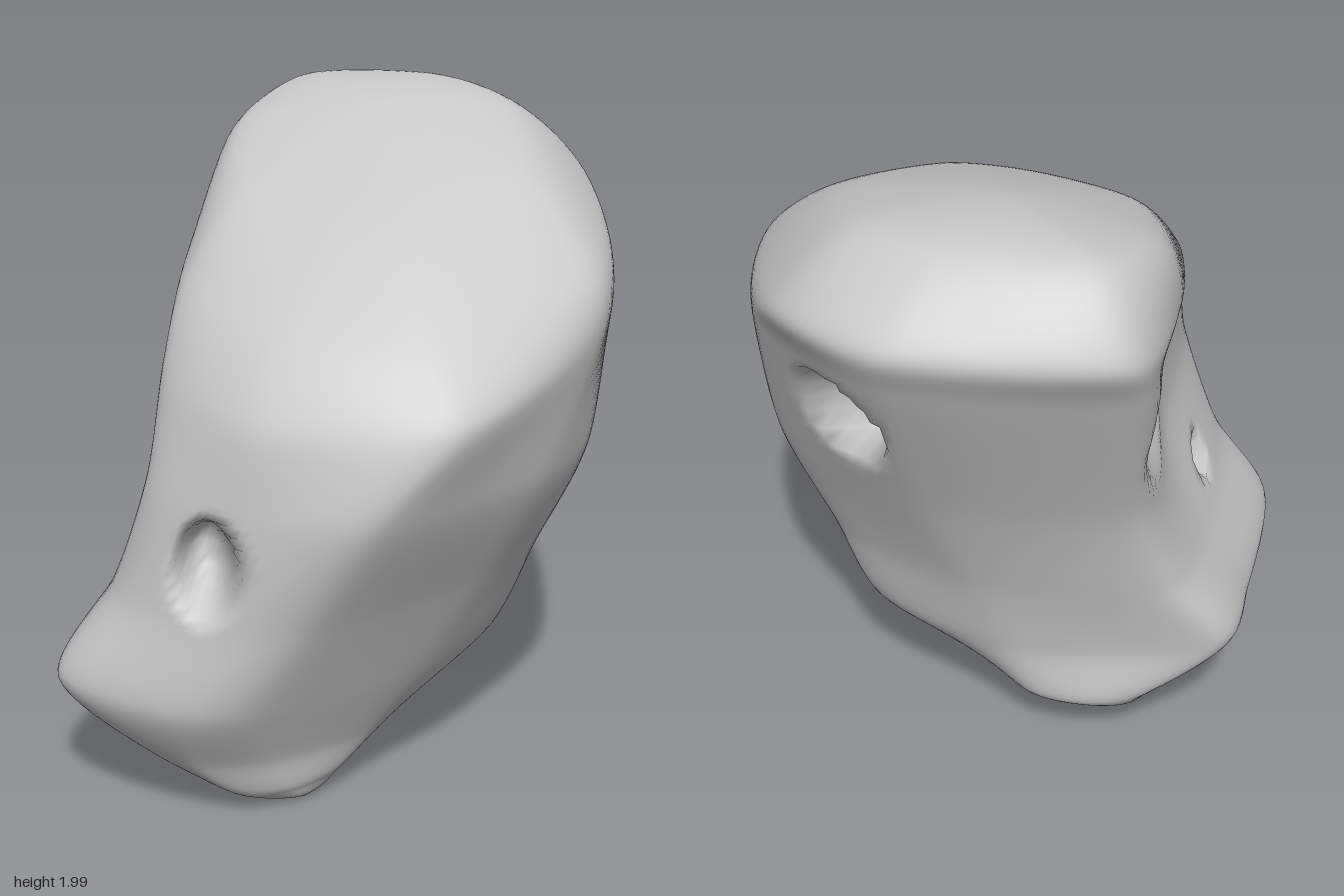
import * as THREE from 'three';
import { mergeVertices } from 'three/addons/utils/BufferGeometryUtils.js';

const AROUND = 112, UP = 100, TENSION = 0.4;

// Tilted cross-sections, bottom to top: height at z = 0, slope along z, and
// [x, z] points: front-left, front, front-right, right, back-right, back, back-left, left.
const SECTIONS = [
  { y: 0.11, tilt: -0.08, at: [[-0.29, 0.5], [-0.16, 0.61], [-0.03, 0.54], [0.06, 0.38], [0, 0.2], [-0.2, -0.04], [-0.43, -0.06], [-0.46, 0.25]] },
  { y: 0.2, tilt: 0, at: [[-0.45, 0.65], [-0.26, 0.73], [-0.06, 0.63], [0.15, 0.33], [0.13, 0.06], [-0.15, -0.25], [-0.47, -0.2], [-0.61, 0.2]] },
  { y: 0.41, tilt: 0, at: [[-0.69, 0.72], [-0.3, 0.847], [-0.04, 0.76], [0.29, 0.31], [0.37, -0.14], [-0.1, -0.3], [-0.7, -0.14], [-0.745, 0.2]] },
  { y: 0.7, tilt: 0, at: [[-0.53, 0.67], [-0.2, 0.83], [0.13, 0.77], [0.46, 0.28], [0.49, -0.18], [0, -0.38], [-0.56, -0.26], [-0.61, 0.12]] },
  { y: 1.05, tilt: 0, at: [[-0.41, 0.66], [-0.08, 0.82], [0.34, 0.795], [0.64, 0.27], [0.63, -0.23], [0.1, -0.52], [-0.5, -0.38], [-0.47, 0.1]] },
  { y: 1.45, tilt: -0.2, at: [[-0.41, 0.53], [-0.02, 0.79], [0.52, 0.69], [0.745, 0.1], [0.6, -0.43], [0.12, -0.79], [-0.54, -0.6], [-0.46, 0]] },
  { y: 1.62, tilt: -0.2, at: [[-0.41, 0.37], [-0.02, 0.64], [0.41, 0.57], [0.7, 0.04], [0.47, -0.62], [0.08, -0.85], [-0.52, -0.7], [-0.56, -0.2]] },
  { y: 1.81, tilt: -0.28, at: [[-0.32, 0.15], [0, 0.3], [0.25, 0.26], [0.43, -0.1], [0.28, -0.48], [0, -0.62], [-0.4, -0.56], [-0.49, -0.25]] },
];
const BOTTOM = new THREE.Vector3(-0.05, 0.005, 0.4);
const TOP = new THREE.Vector3(-0.06, 1.96, -0.25);

// Hollows: centre, ellipsoid radii and inward push
const HOLLOWS = [
  { c: [-0.16, 0.86, 0.83], r: [0.12, 0.17, 0.3], push: [-0.06, 0, -0.18] },
  { c: [0.32, 1.37, -0.62], r: [0.17, 0.22, 0.18], push: [-0.1, 0.02, 0.14] },
  { c: [-0.54, 0.8, 0.3], r: [0.11, 0.08, 0.06], push: [0.07, -0.02, 0] },
  { c: [-0.5, 1.34, -0.2], r: [0.25, 0.28, 0.28], push: [0.07, 0, 0] },
];

function carve(p) {
  const start = p.clone();
  for (const { c, r, push } of HOLLOWS) {
    const d = Math.hypot((start.x - c[0]) / r[0], (start.y - c[1]) / r[1], (start.z - c[2]) / r[2]);
    const w = 1 - THREE.MathUtils.smoothstep(d, 0.35, 1);
    p.addScaledVector(new THREE.Vector3(...push), w);
  }
  return p;
}

function boulderGeometry() {
  const loops = SECTIONS.map(({ y, tilt, at }) => new THREE.CatmullRomCurve3(
    at.map(([x, z]) => new THREE.Vector3(x, y + tilt * z, z)), true, 'catmullrom', TENSION));
  const spans = loops.length + 3;
  const positions = [], index = [];
  for (let i = 0; i < AROUND; i++) {
    // One rib from the underside to the crown, led over both poles to stay smooth
    const side = loops.map((l) => l.getPoint(i / AROUND));
    const far = (l) => l.getPoint((i / AROUND + 0.5) % 1);
    const rib = new THREE.CatmullRomCurve3(
      [far(loops[0]), BOTTOM, ...side, TOP, far(loops.at(-1))], false, 'catmullrom', TENSION);
    for (let j = 0; j <= UP; j++) {
      const t = (1 + (j / UP) * (spans - 2)) / spans;
      const p = j === 0 ? BOTTOM : j === UP ? TOP : carve(rib.getPoint(t));
      positions.push(p.x, p.y, p.z);
      if (j === UP) continue;
      const a = i * (UP + 1) + j, b = ((i + 1) % AROUND) * (UP + 1) + j;
      if (j > 0) index.push(a, b, b + 1);
      if (j < UP - 1) index.push(a, b + 1, a + 1);
    }
  }
  const geo = new THREE.BufferGeometry();
  geo.setAttribute('position', new THREE.Float32BufferAttribute(positions, 3));
  geo.setIndex(index);
  const merged = mergeVertices(geo, 1e-5);
  merged.computeVertexNormals();
  return merged;
}

export function createModel() {
  const group = new THREE.Group();
  group.name = 'rock';
  const boulder = new THREE.Mesh(boulderGeometry(), new THREE.MeshStandardMaterial({ color: 0xcccccc }));
  boulder.name = 'boulder';
  group.add(boulder);
  return group;
}
